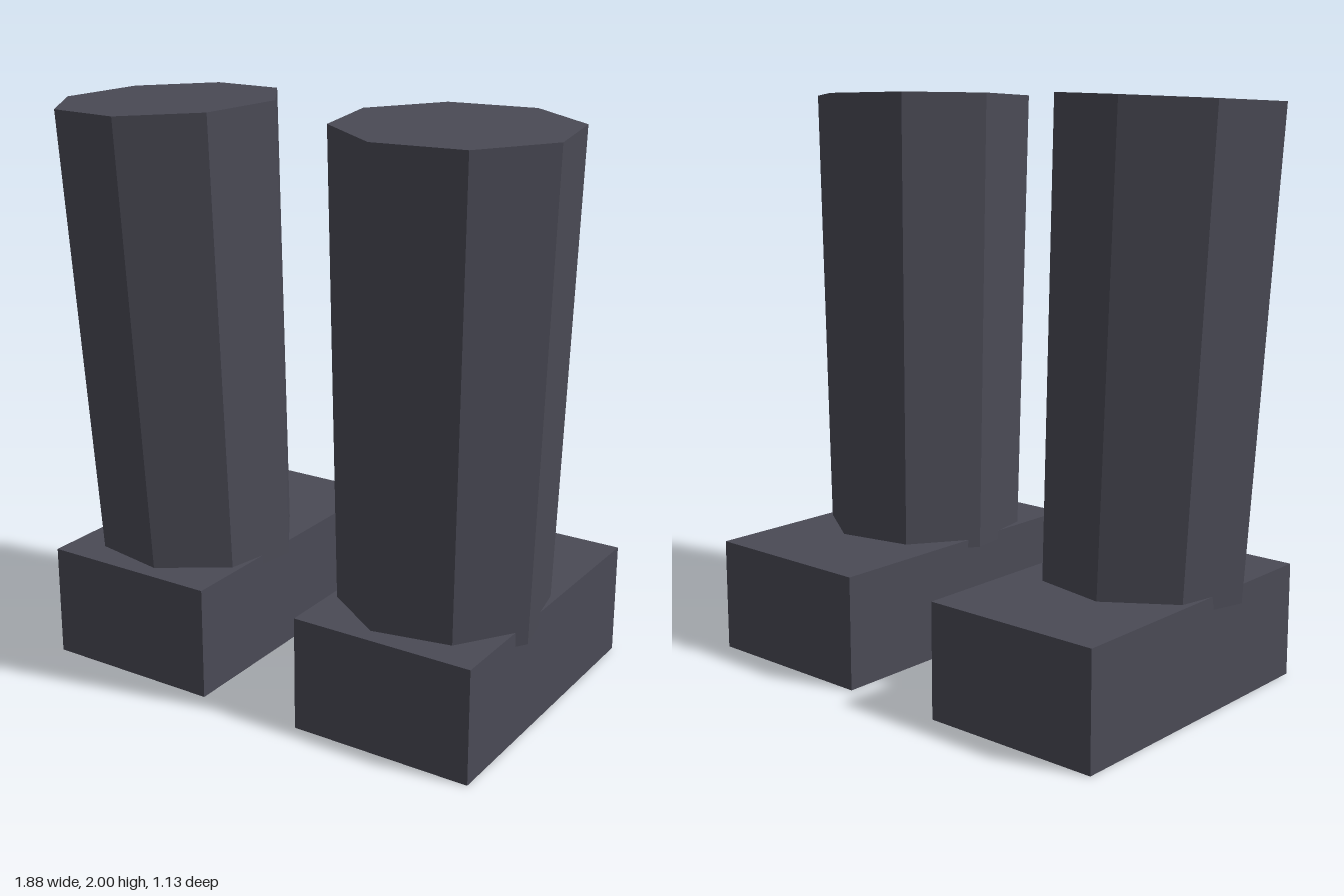
import * as THREE from 'three';

export function createModel() {
  const model = new THREE.Group();
  const material = new THREE.MeshStandardMaterial({ color: 0x4a4a55, flatShading: true });
  const up = new THREE.Vector3(0, 1, 0);

  // One boot per side: s = +1 is the model's left, s = -1 its right
  for (const s of [1, -1]) {
    const boot = new THREE.Group();
    boot.name = s > 0 ? 'leftBoot' : 'rightBoot';

    // Block foot
    const foot = new THREE.Mesh(new THREE.BoxGeometry(0.65, 0.4, 1.11), material);
    foot.name = 'foot';
    foot.position.set(s * 0.515, 0.2, -0.015);

    // Eight-sided shaft, flaring upwards and leaning outwards and forwards
    const bottom = new THREE.Vector3(s * 0.515, 0.36, 0.127);
    const top = new THREE.Vector3(s * 0.555, 1.985, 0.18);
    const axis = top.clone().sub(bottom);
    const geometry = new THREE.CylinderGeometry(0.393, 0.357, axis.length(), 8);
    geometry.rotateY(s * THREE.MathUtils.degToRad(33.5));
    const shaft = new THREE.Mesh(geometry, material);
    shaft.name = 'shaft';
    shaft.position.copy(bottom).add(top).multiplyScalar(0.5);
    shaft.quaternion.setFromUnitVectors(up, axis.normalize());

    boot.add(foot, shaft);
    model.add(boot);
  }
  return model;
}
